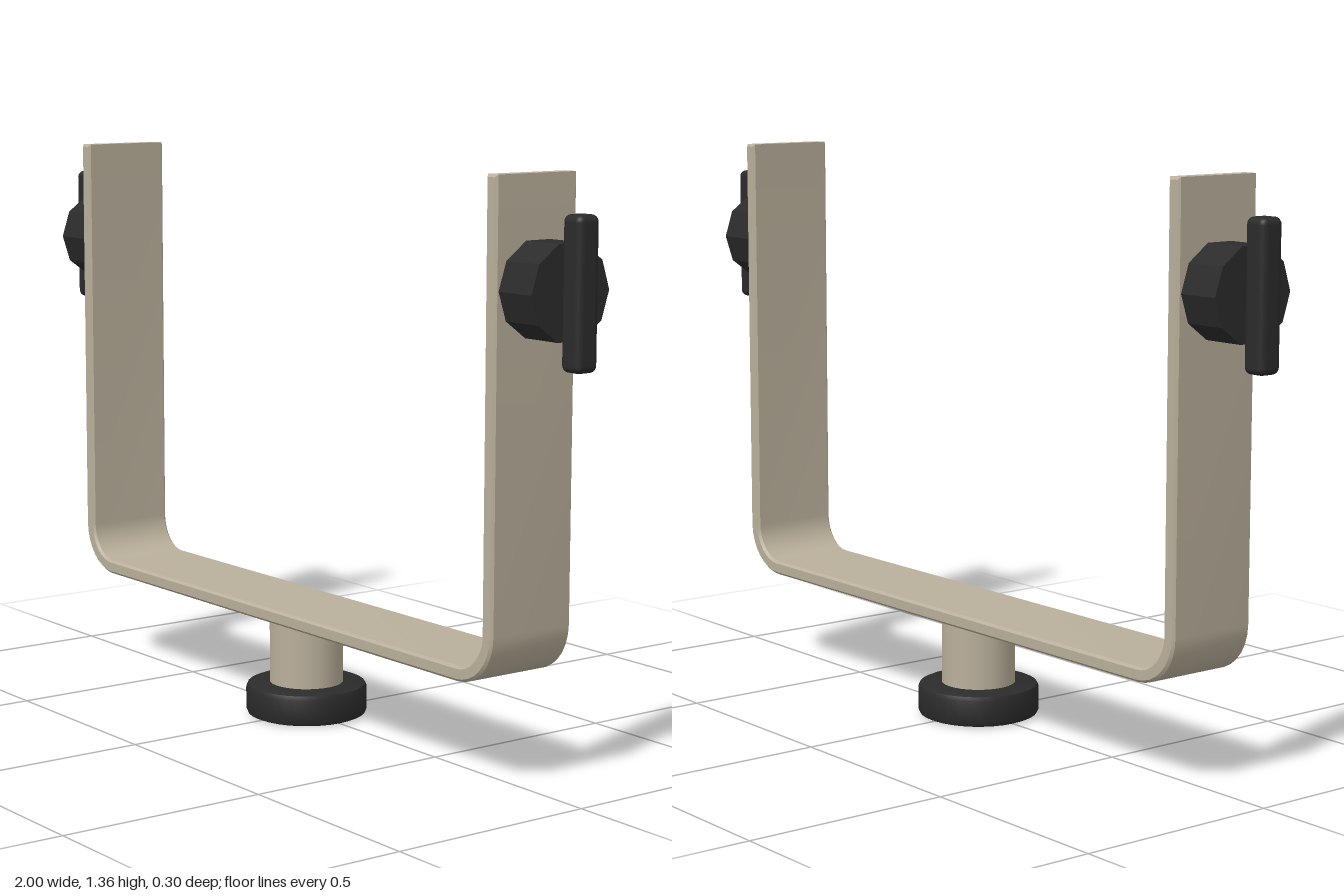
import * as THREE from 'three';
import { toCreasedNormals } from 'three/addons/utils/BufferGeometryUtils.js';
import { RoundedBoxGeometry } from 'three/addons/geometries/RoundedBoxGeometry.js';

const metal = new THREE.MeshStandardMaterial({ color: 0xb9af9b });
metal.name = 'beigeMetal';
const plastic = new THREE.MeshStandardMaterial({ color: 0x2b2b2b });
plastic.name = 'blackPlastic';

function addMesh(parent, name, geometry, material, x = 0, y = 0, z = 0) {
  const mesh = new THREE.Mesh(geometry, material);
  mesh.name = name;
  mesh.position.set(x, y, z);
  parent.add(mesh);
  return mesh;
}

// U-shaped strap: one bent plate outline, extruded across its depth
function bracketGeometry() {
  const w = 0.83, bottom = 0.24, top = 1.36, t = 0.035, r = 0.12, half = 0.115, bevel = 0.006;
  const cx = w - r, cy = bottom + r, ri = r - t;
  const s = new THREE.Shape();
  s.moveTo(-w, top);
  s.lineTo(-w, cy);
  s.absarc(-cx, cy, r, Math.PI, Math.PI * 1.5, false);
  s.absarc(cx, cy, r, Math.PI * 1.5, Math.PI * 2, false);
  s.lineTo(w, top);
  s.lineTo(w - t, top);
  s.absarc(cx, cy, ri, Math.PI * 2, Math.PI * 1.5, true);
  s.absarc(-cx, cy, ri, Math.PI * 1.5, Math.PI, true);
  s.lineTo(-w + t, top);
  s.closePath();
  const g = new THREE.ExtrudeGeometry(s, {
    depth: 2 * (half - bevel), curveSegments: 4, bevelEnabled: true,
    bevelThickness: bevel, bevelSize: bevel, bevelOffset: -bevel, bevelSegments: 1,
  });
  g.translate(0, 0, -(half - bevel));
  return toCreasedNormals(g, 0.6);
}

// Round foot with softened rims
function footGeometry() {
  const r = 0.148, h = 0.08, b = 0.014;
  const profile = [[0, 0], [r - b, 0], [r - b * 0.3, b * 0.3], [r, b],
    [r, h - b], [r - b * 0.3, h - b * 0.3], [r - b, h], [0, h]]
    .map(([x, y]) => new THREE.Vector2(x, y));
  return toCreasedNormals(new THREE.LatheGeometry(profile, 32), 0.7);
}

// Ten-sided clamp knob with an upright grip bar, pointing along side * x
function makeKnob(side) {
  const knob = new THREE.Group();
  knob.name = side > 0 ? 'leftKnob' : 'rightKnob';
  const hub = new THREE.CylinderGeometry(0.11, 0.11, 0.105, 10);
  hub.rotateZ(Math.PI / 2);
  addMesh(knob, 'knobHub', toCreasedNormals(hub, 0.3), plastic, side * 0.8875, 1.113);
  // Clamp screw joining the hub to the strap
  const screw = new THREE.CylinderGeometry(0.03, 0.03, 0.03, 16);
  screw.rotateZ(Math.PI / 2);
  addMesh(knob, 'knobScrew', screw, plastic, side * 0.833, 1.113);
  addMesh(knob, 'gripBar', new RoundedBoxGeometry(0.06, 0.335, 0.06, 3, 0.016), plastic, side * 0.97, 1.113);
  return knob;
}

export function createModel() {
  const model = new THREE.Group();
  model.name = 'yokeBracket';
  addMesh(model, 'bracketStrap', bracketGeometry(), metal);
  addMesh(model, 'post', new THREE.CylinderGeometry(0.09, 0.09, 0.18, 32), metal, 0, 0.16);
  addMesh(model, 'foot', footGeometry(), plastic);
  for (const side of [-1, 1]) model.add(makeKnob(side));
  return model;
}
